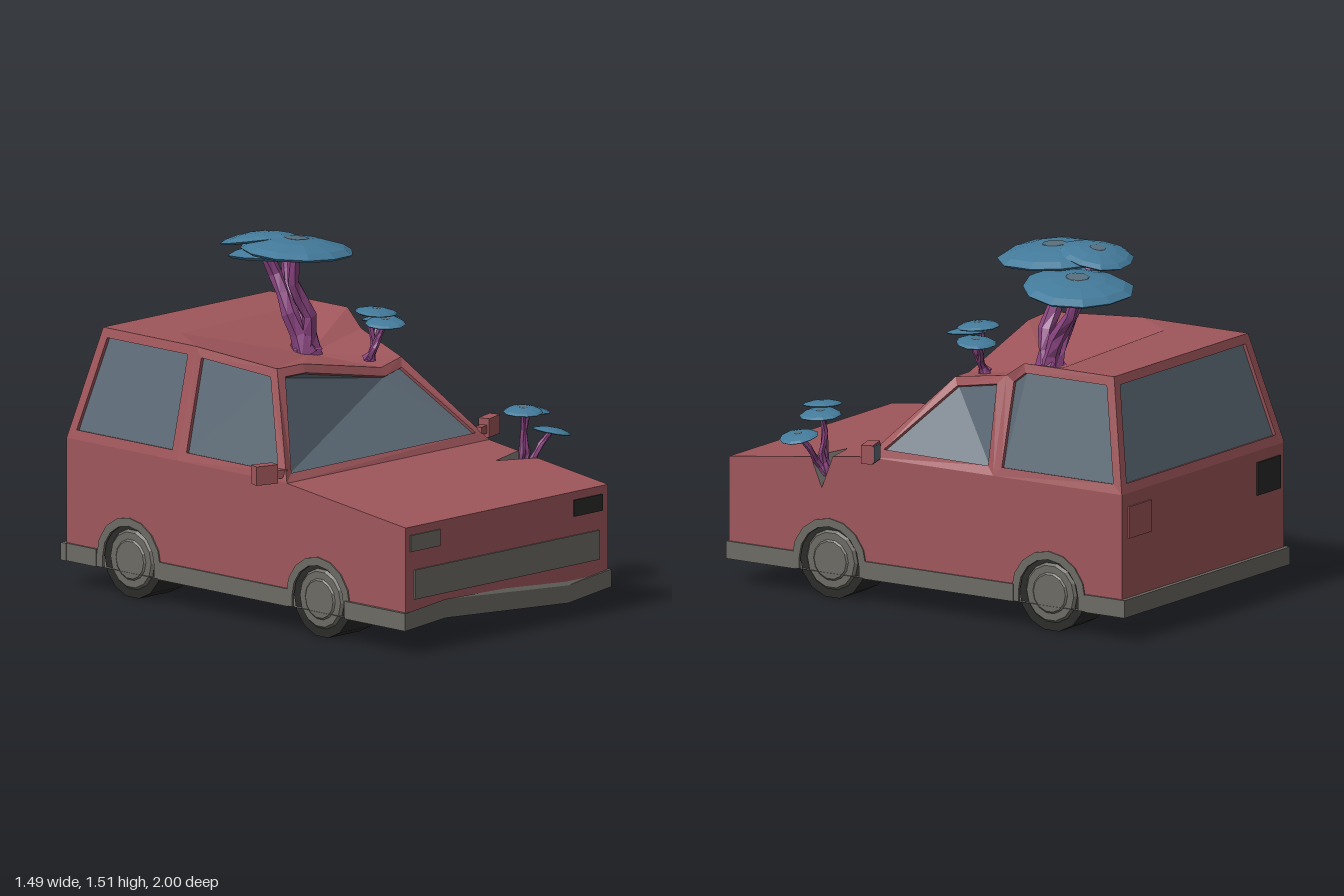
import * as THREE from 'three';

const mat = (name, color, side = THREE.FrontSide) => {
  const m = new THREE.MeshStandardMaterial({ color, side, flatShading: true });
  m.name = name;
  return m;
};
const V = (x, y, z) => new THREE.Vector3(x, y, z);

export function createModel() {
  const model = new THREE.Group();
  model.name = 'overgrownCar';
  const D = THREE.DoubleSide;
  const paint = mat('faded red', 0x9f565b, D), glass = mat('window glass', 0x5d6b77, D);
  const trim = mat('grey trim', 0x6c6a64, D), rubber = mat('black rubber', 0x2a2a29);
  const bark = mat('purple bark', 0x8c4683, D), leaf = mat('blue cap', 0x437a9a);
  const spot = mat('cap spot', 0x566f7e);

  const add = (name, geo, m, parent = model) => {
    const mesh = new THREE.Mesh(geo, m);
    mesh.name = name;
    parent.add(mesh);
    return mesh;
  };
  const box = (name, w, h, d, x, y, z, m, parent) => {
    const b = add(name, new THREE.BoxGeometry(w, h, d), m, parent);
    b.position.set(x, y, z);
    return b;
  };
  // Each polygon is fanned from its first corner
  const polys = (name, list, m, parent) => {
    const pts = [];
    for (const p of list)
      for (let i = 1; i < p.length - 1; i++) pts.push(p[0], p[i], p[i + 1]);
    const g = new THREE.BufferGeometry().setFromPoints(pts);
    g.computeVertexNormals();
    return add(name, g, m, parent);
  };
  // Frame around a recessed pane
  const windowPanel = (name, outer, inset = 0.04, depth = 0.015) => {
    const n = outer.length, normal = V(0, 0, 0);
    outer.forEach((p, i) => normal.add(p.clone().cross(outer[(i + 1) % n])));
    normal.normalize();
    const inward = i => normal.clone().cross(outer[(i + 1) % n].clone().sub(outer[i % n])).normalize();
    const inner = outer.map((p, i) => {
      const a = inward(i + n - 1), b = inward(i);
      return p.clone().addScaledVector(a.clone().add(b), inset / (1 + a.dot(b)));
    });
    const pane = inner.map(p => p.clone().addScaledVector(normal, -depth));
    const ring = (a, b) => a.map((p, i) => [p, a[(i + 1) % n], b[(i + 1) % n], b[i]]);
    polys(name + 'Frame', [...ring(outer, inner), ...ring(inner, pane)], paint);
    polys(name + 'Glass', [pane], glass);
  };

  // Lower body sides with wheel cutouts, the left one notched
  const XL = 0.575, XR = -0.625, wheelZ = [0.485, -0.615];
  const arc = (z, r) => Array.from({ length: 9 }, (_, i) => {
    const a = Math.PI * i / 8;
    return [z - r * Math.cos(a), 0.16 + r * Math.sin(a)];
  });
  const shapeOf = pts => new THREE.Shape(pts.map(p => new THREE.Vector2(p[0], p[1])));
  const cut = (z, r) => [[z - r, 0.112], ...arc(z, r), [z + r, 0.112]];
  for (const x of [XL, XR]) {
    const notch = x > 0 ? [[0.58, 0.595], [0.525, 0.47], [0.47, 0.609]] : [];
    const side = shapeOf([[-0.98, 0.112], ...cut(wheelZ[1], 0.165), ...cut(wheelZ[0], 0.165),
      [0.98, 0.13], [0.99, 0.185], [0.99, 0.545], ...notch, [0.3, 0.63], [-0.98, 0.63]]);
    const m = add('bodySide', new THREE.ShapeGeometry(side).rotateY(-Math.PI / 2), paint);
    m.position.x = x;
  }
  const n1 = V(XL, 0.609, 0.47), n2 = V(XL, 0.595, 0.58), low = V(XL, 0.47, 0.525), tip = V(0.39, 0.603, 0.52);
  const A = V(XL, 0.63, 0.3), A2 = V(XR, 0.63, 0.3), E = V(XL, 0.63, -0.98), E2 = V(XR, 0.63, -0.98);
  const H = V(XL, 0.545, 0.99), H2 = V(XR, 0.545, 0.99);
  polys('hood', [[tip, n2, H, H2, A2, A, n1]], paint);
  polys('hoodCrack', [[tip, n1, low], [tip, low, n2]], trim);
  polys('frontPanel', [[V(XR, 0.145, 0.99), V(XL, 0.145, 0.99), H, H2]], paint);
  polys('rearPanel', [[V(XL, 0.12, -0.98), V(XR, 0.12, -0.98), E2, E]], paint);

  // Cabin with a crushed front left corner
  const B = V(XL, 0.63, -0.335), B2 = V(XR, 0.63, -0.335);
  const C = V(0.44, 1.03, -0.31), C2 = V(-0.52, 1.1, -0.33);
  const F = V(0.47, 1.1, -0.87), F2 = V(-0.52, 1.1, -0.87), G = V(0.47, 1.1, -0.42);
  const L0 = V(-0.5, 1.07, 0.12), L1 = V(-0.34, 1.065, 0.11), L2 = V(0.2, 0.955, 0.04), L3 = V(0.36, 0.97, 0);
  windowPanel('windscreen', [L2, L1, L0, A2, A, L3]);
  windowPanel('leftFrontWindow', [B, C, L3, A]);
  windowPanel('leftRearWindow', [B, E, F, G, C]);
  windowPanel('rightFrontWindow', [B2, A2, L0, C2]);
  windowPanel('rightRearWindow', [E2, B2, C2, F2]);
  windowPanel('rearWindow', [E, E2, F2, F]);
  const pit = V(0.1, 0.98, -0.28), q1 = V(-0.38, 1.1, -0.55), q2 = V(0.45, 1.1, -0.6);
  polys('roof', [[pit, L0, L1, L2, L3, C, G, q2, q1, C2, L0],
    [q1, q2, F, F2, C2], [q2, G, F]], paint);

  // Skirts, underside and dented front bumper
  for (const x of [XL, XR]) {
    box('sideSkirt', 0.016, 0.075, 0.75, x, 0.1475, -0.065, trim);
    box('rearSkirt', 0.02, 0.075, 0.2, x, 0.1475, -0.9, trim);
    for (const z of wheelZ) {
      const arch = shapeOf([[z - 0.19, 0.112], ...arc(z, 0.185), [z + 0.19, 0.112], ...cut(z, 0.15).reverse()]);
      const g = new THREE.ExtrudeGeometry(arch, { depth: 0.012, bevelEnabled: false }).rotateY(-Math.PI / 2);
      add('wheelArch', g, trim).position.x = x + 0.006;
    }
  }
  box('rearBumper', 1.225, 0.075, 0.03, -0.0275, 0.1475, -0.985, trim);
  polys('underside', [[V(XR, 0.111, -0.98), V(XL, 0.111, -0.98), V(XL, 0.111, 0.65), V(XR, 0.111, 0.65)]], trim);
  const cols = [[-0.64, 0.185, 0.11], [-0.4, 0.21, 0.13], [0.33, 0.155, 0.08], [0.585, 0.185, 0.11]];
  const bumper = [], belly = [];
  for (let i = 0; i < 3; i++) {
    const [x, t, b] = cols[i], [X, T, K] = cols[i + 1];
    bumper.push([V(x, b, 1), V(X, K, 1), V(X, T, 1), V(x, t, 1)],
      [V(x, t, 1), V(X, T, 1), V(X, 0.185, 0.98), V(x, 0.185, 0.98)]);
    belly.push([V(x, 0.11, 0.65), V(X, 0.11, 0.65), V(X, K, 1), V(x, b, 1)]);
  }
  for (const x of [-0.64, 0.585]) {
    const s = Math.sign(x) * 0.02;
    bumper.push([V(x, 0.11, 1), V(x, 0.11, 0.65), V(x, 0.185, 0.65), V(x, 0.185, 1)],
      [V(x, 0.185, 1), V(x, 0.185, 0.65), V(x - s, 0.185, 0.65), V(x - s, 0.185, 1)]);
  }
  polys('frontBumper', bumper, trim);
  polys('frontBelly', belly, trim);

  // Lamps and grille
  box('grille', 1.095, 0.125, 0.009, -0.0275, 0.2975, 0.992, trim);
  box('rightHeadlight', 0.175, 0.07, 0.009, -0.5125, 0.475, 0.992, trim);
  box('leftHeadlightSocket', 0.17, 0.07, 0.009, 0.455, 0.475, 0.992, rubber);
  box('leftTailLight', 0.165, 0.135, 0.009, 0.445, 0.505, -0.983, paint);
  box('rightTailLightSocket', 0.17, 0.14, 0.009, -0.505, 0.512, -0.983, rubber);

  // Wheels
  const disc = (name, r1, r2, w, x, m, parent) => {
    const c = add(name, new THREE.CylinderGeometry(r1, r2, w, 14).rotateZ(-Math.PI / 2), m, parent);
    c.position.x = x;
  };
  for (const [x, s] of [[0.4625, 1], [-0.5125, -1]]) for (const z of wheelZ) {
    const wheel = new THREE.Group();
    wheel.name = 'wheel';
    wheel.position.set(x, 0.165, z);
    if (s < 0) wheel.rotation.y = Math.PI;
    disc('tyre', 0.165, 0.165, 0.185, 0, rubber, wheel);
    disc('rim', 0.118, 0.13, 0.014, 0.097, trim, wheel);
    disc('hub', 0.08, 0.09, 0.008, 0.106, trim, wheel);
    model.add(wheel);
  }

  // Wing mirrors
  for (const [x, s] of [[0.642, 1], [-0.692, -1]]) {
    const mirror = new THREE.Group();
    mirror.name = 'wingMirror';
    mirror.position.set(x, 0.67, 0.235);
    mirror.rotation.y = s * 0.3;
    box('mirrorShell', 0.1, 0.08, 0.05, 0, 0, 0, paint, mirror);
    box('mirrorGlass', 0.088, 0.068, 0.008, 0, 0, -0.026, glass, mirror);
    box('mirrorArm', 0.06, 0.035, 0.03, -s * 0.07, -0.005, 0, paint, mirror);
    model.add(mirror);
  }

  // Flat-capped growths: a tapered crooked stem for every cap
  const stem = (a, b, r, k, parent) => {
    const at = (t, dx, dz) => a.clone().lerp(b, t).add(V(dx * r, 0, dz * r));
    const curve = new THREE.CatmullRomCurve3([a, at(0.3, 0.7 - k * 0.6, 0.5), at(0.65, k * 0.6 - 0.5, -0.5), b]);
    const g = new THREE.TubeGeometry(curve, 6, r, 6);
    const p = g.attributes.position, v = V(0, 0, 0);
    for (let i = 0; i < p.count; i++) {
      const ring = Math.floor(i / 7), c = curve.getPointAt(ring / 6);
      const f = (ring === 0 ? 1.8 : 1.05 - ring * 0.07) * (1 + 0.15 * Math.sin(ring * 2.3 + (i % 7 % 6) * 2));
      v.fromBufferAttribute(p, i).sub(c).multiplyScalar(f).add(c);
      p.setXYZ(i, v.x, v.y, v.z);
    }
    add('stem', g, bark, parent);
  };
  const profile = [[0, -0.05], [0.6, -0.13], [0.93, -0.11], [1, -0.06], [0.85, 0.03], [0.5, 0.12], [0.22, 0.15], [0, 0.15]]
    .map(p => new THREE.Vector2(p[0], p[1]));
  const growth = (name, base, r, caps) => {
    const tree = new THREE.Group();
    tree.name = name;
    caps.forEach(([x, y, z, size, tx, tz], k) => {
      stem(base, V(x, y, z), r, k, tree);
      const g = new THREE.LatheGeometry(profile, 11), p = g.attributes.position;
      for (let i = 0; i < p.count; i++) {
        const a = Math.atan2(p.getZ(i), p.getX(i)), f = 1 + 0.045 * Math.sin(3 * a + k * 2);
        p.setXYZ(i, p.getX(i) * f, p.getY(i), p.getZ(i) * f);
      }
      const cap = add('cap', g, leaf, tree);
      cap.position.set(x, y, z);
      cap.scale.setScalar(size);
      cap.rotation.set(tx, 0, tz);
      add('capSpot', new THREE.CylinderGeometry(0.21, 0.24, 0.02, 8).translate(0, 0.148, 0), spot, cap);
    });
    model.add(tree);
  };
  growth('roofGrowth', V(0.1, 0.99, -0.3), 0.036, [
    [-0.02, 1.46, -0.24, 0.24, 0.02, -0.06], [0.155, 1.38, -0.47, 0.235, -0.1, -0.08],
    [-0.045, 1.475, -0.435, 0.16, -0.2, -0.05]]);
  growth('windscreenGrowth', V(0.23, 0.97, -0.06), 0.016, [
    [0.25, 1.175, -0.04, 0.09, 0.05, -0.05], [0.335, 1.125, -0.085, 0.085, -0.1, -0.08],
    [0.245, 1.14, 0.02, 0.085, 0.1, 0.08]]);
  growth('hoodGrowth', V(0.53, 0.53, 0.53), 0.016, [
    [0.585, 0.79, 0.525, 0.088, 0, -0.12], [0.66, 0.7, 0.585, 0.083, 0.05, -0.2],
    [0.495, 0.81, 0.575, 0.083, 0.08, 0.05]]);
  return model;
}
